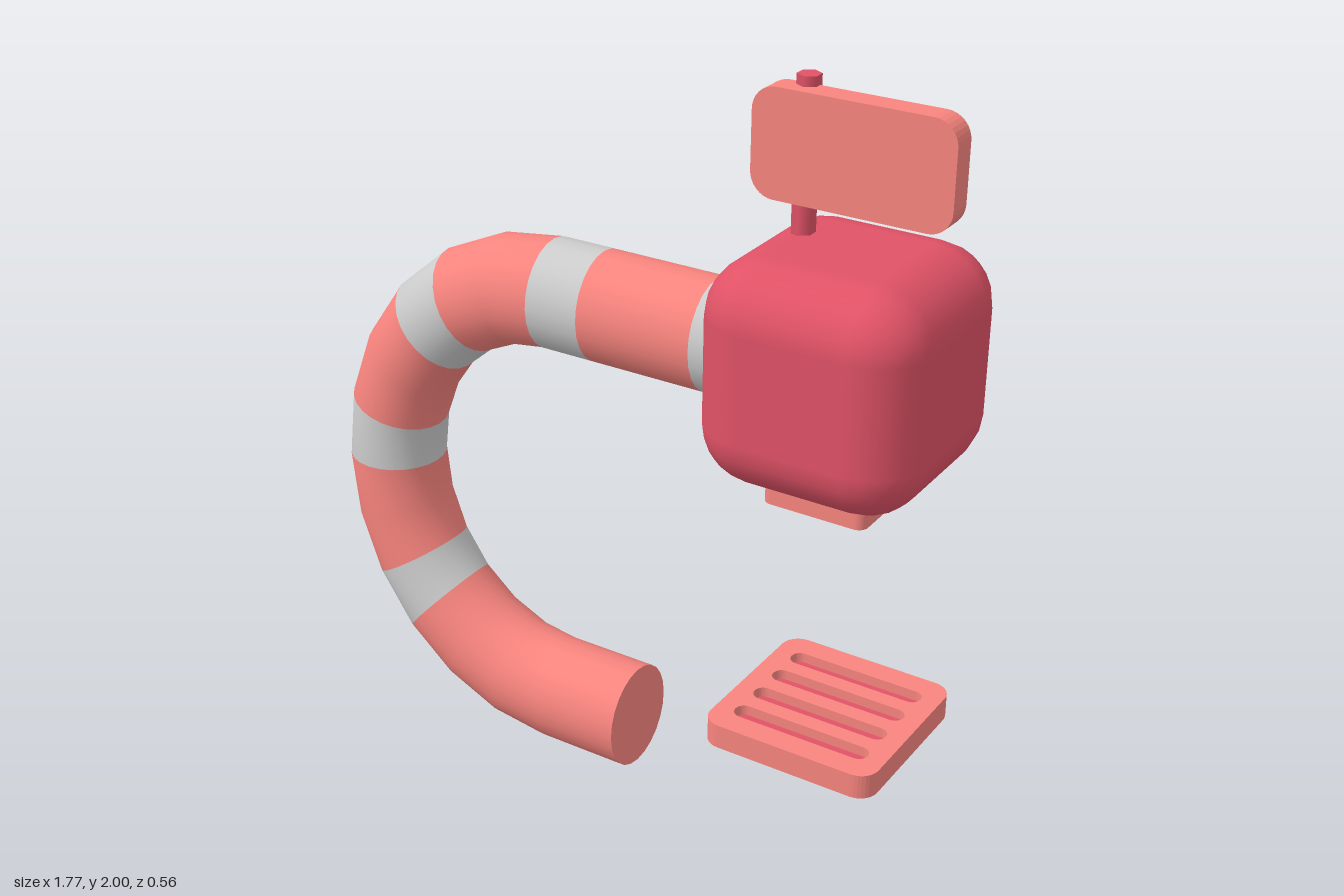
import * as THREE from 'three';
import { RoundedBoxGeometry } from 'three/addons/geometries/RoundedBoxGeometry.js';

const material = (color) => new THREE.MeshStandardMaterial({ color });

// Rounded rectangle outline, usable as a shape or a hole
function roundedRect(Type, w, h, r, cx = 0, cy = 0) {
  const p = new Type();
  const x = w / 2 - r, y = h / 2 - r;
  p.absarc(cx + x, cy + y, r, 0, Math.PI / 2);
  p.absarc(cx - x, cy + y, r, Math.PI / 2, Math.PI);
  p.absarc(cx - x, cy - y, r, Math.PI, Math.PI * 1.5);
  p.absarc(cx + x, cy - y, r, Math.PI * 1.5, Math.PI * 2);
  p.closePath();
  return p;
}

const plate = (shape, depth) =>
  new THREE.ExtrudeGeometry(shape, { depth, bevelEnabled: false, curveSegments: 4 });

export function createModel() {
  const model = new THREE.Group();
  const red = material(0xe05266);
  const salmon = material(0xf8847e);
  const white = material(0xeef1ef);

  const add = (name, geometry, mat, x, y, z, parent = model) => {
    const mesh = new THREE.Mesh(geometry, mat);
    mesh.name = name;
    mesh.position.set(x, y, z);
    parent.add(mesh);
    return mesh;
  };

  // Striped hook-shaped pipe, slightly narrower in x and z than in y
  const pipe = new THREE.Group();
  pipe.name = 'stripedPipe';
  pipe.position.set(-0.22, 0.735, -0.01);
  model.add(pipe);
  const BEND = 0.59, RADIUS = 0.145, SQUASH = 0.905, STEP = Math.PI / 12;

  // Bend, counted in 15 degree steps from the top
  const bends = [[0, 2, salmon], [2, 3, white], [3, 5, salmon], [5, 6, white],
    [6, 8, salmon], [8, 9, white], [9, 12, salmon]];
  for (const [from, to, mat] of bends) {
    const g = new THREE.TorusGeometry(BEND, RADIUS, 24, to - from, (to - from) * STEP);
    g.rotateZ(Math.PI / 2 + from * STEP).scale(SQUASH, 1, SQUASH);
    add(mat === white ? 'whiteBendBand' : 'pipeBend', g, mat, 0, 0, 0, pipe);
  }

  // Straight runs: start x, end x, height, closed ends
  const runs = [[0, 0.15, BEND, white, true], [0.15, 0.47, BEND, salmon, true],
    [0.47, 0.62, BEND, white, false], [0, 0.25, -BEND, salmon, false]];
  for (const [a, b, y, mat, open] of runs) {
    const g = new THREE.CylinderGeometry(RADIUS, RADIUS, b - a, 24, 1, open);
    g.rotateZ(-Math.PI / 2).scale(1, 1, SQUASH);
    add(mat === white ? 'whiteStraightBand' : 'pipeStraight', g, mat, (a + b) / 2, y, 0, pipe);
  }

  // Box head with the outlet below it
  add('head', new RoundedBoxGeometry(0.56, 0.56, 0.56, 3, 0.145), red, 0.605, 1.345, 0);
  const outlet = plate(roundedRect(THREE.Shape, 0.27, 0.27, 0.025), 0.12).rotateX(-Math.PI / 2);
  add('outlet', outlet, salmon, 0.603, 1.0, 0);

  // Flag plate on a hexagonal pole
  add('pole', new THREE.CylinderGeometry(0.029, 0.029, 0.5, 6), red, 0.46, 1.75, -0.037);
  add('flag', plate(roundedRect(THREE.Shape, 0.505, 0.265, 0.06), 0.065), salmon, 0.602, 1.843, -0.042);

  // Floating tray: solid base, red pocket floor and slotted top
  const tray = new THREE.Group();
  tray.name = 'tray';
  tray.position.set(0.605, 0.335, 0);
  model.add(tray);
  const outline = () => roundedRect(THREE.Shape, 0.468, 0.466, 0.05);
  const slotted = outline();
  for (let i = 0; i < 4; i++) {
    slotted.holes.push(roundedRect(THREE.Path, 0.37, 0.052, 0.025, 0, (i - 1.5) * 0.096));
  }
  add('trayBase', plate(outline(), 0.035).rotateX(-Math.PI / 2), salmon, 0, 0, 0, tray);
  add('slotFloor', new THREE.BoxGeometry(0.4, 0.004, 0.38), red, 0, 0.036, 0, tray);
  add('trayTop', plate(slotted, 0.03).rotateX(-Math.PI / 2), salmon, 0, 0.035, 0, tray);

  return model;
}
